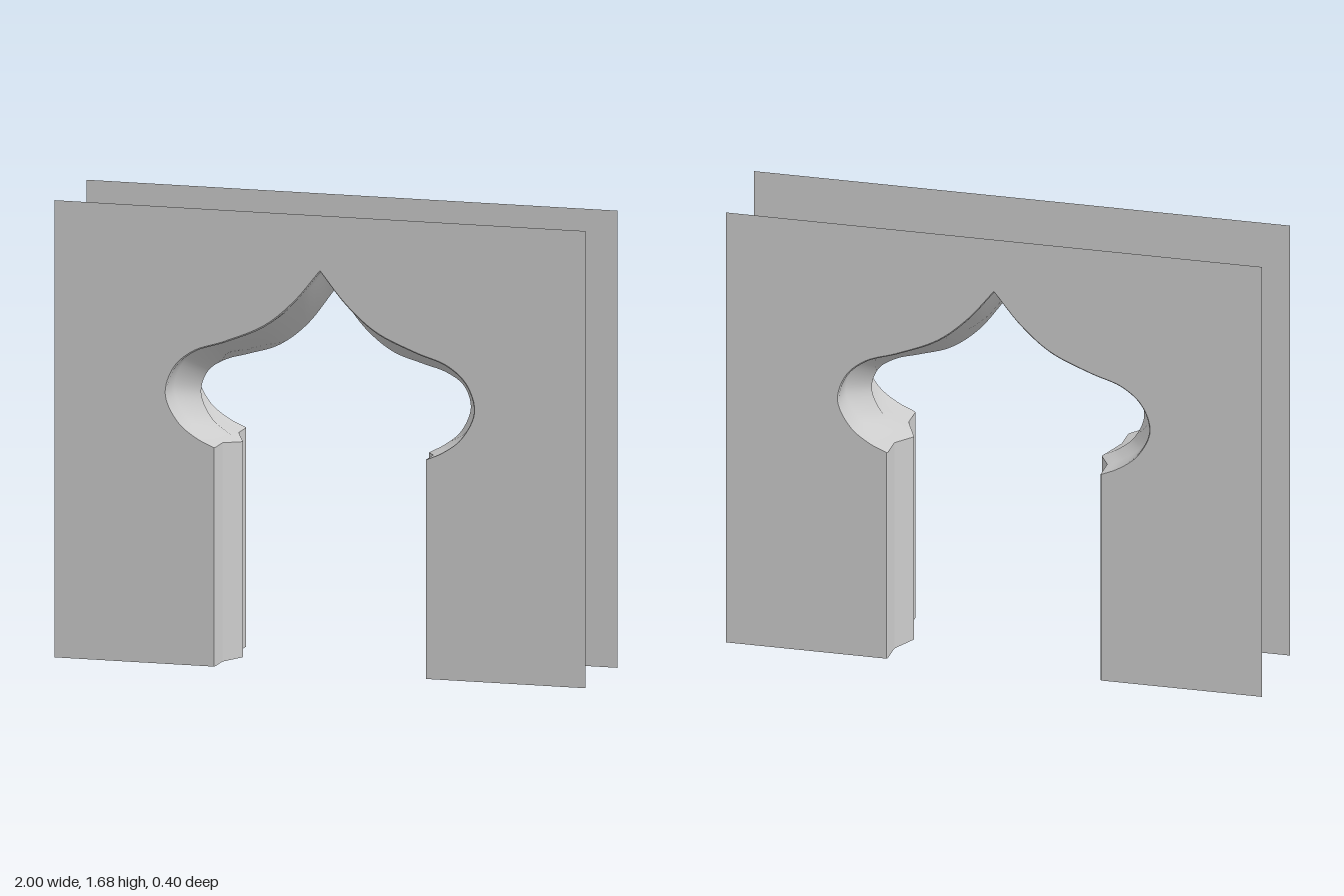
import * as THREE from 'three';

const HALF_DEPTH = 0.2, HEIGHT = 1.68, STEPS = 64;
const material = new THREE.MeshStandardMaterial({ color: 0xcccccc, side: THREE.DoubleSide });

const curve = (pts) =>
  new THREE.CatmullRomCurve3(pts.map(([x, y]) => new THREE.Vector3(x, y, 0)), false, 'centripetal');

// Half of the onion arch, from the spring point to the tip: edge at the panels and ridge at mid depth
const edge = curve([[0.4, 0.805], [0.465, 0.835], [0.535, 0.89], [0.583, 0.99], [0.553, 1.09], [0.48, 1.155],
  [0.36, 1.198], [0.21, 1.265], [0.1, 1.358], [0, 1.478]]);
const ridge = curve([[0.35, 0.792], [0.41, 0.825], [0.47, 0.875], [0.508, 0.965], [0.482, 1.045], [0.417, 1.09],
  [0.325, 1.118], [0.215, 1.155], [0.11, 1.235], [0, 1.377]]);

// Section through the depth: z, and blend from edge (0) to ridge (1)
const section = [[-0.2, 0], [-0.194, 0.06], [-0.1, 0.06], [0, 1], [0.1, 0.06], [0.194, 0.06], [0.2, 0]];

// Surface swept along the opening between an edge line and a ridge line
function reveal(name, side, steps, edgeAt, ridgeAt, faceted) {
  let geo = new THREE.PlaneGeometry(1, 1, steps, section.length - 1);
  const pos = geo.attributes.position;
  for (let row = 0; row < section.length; row++) {
    const [z, blend] = section[row];
    for (let i = 0; i <= steps; i++) {
      const p = edgeAt(i / steps).clone().lerp(ridgeAt(i / steps), blend);
      pos.setXYZ(row * (steps + 1) + i, side * p.x, p.y, side * z);
    }
  }
  if (faceted) geo = geo.toNonIndexed();
  geo.computeVertexNormals();
  const mesh = new THREE.Mesh(geo, material);
  mesh.name = name;
  return mesh;
}

// Flat wall sheet with the arch cut out, open at the foot
function panelGeometry() {
  const half = edge.getPoints(STEPS).map((p) => new THREE.Vector2(p.x, p.y));
  const left = half.slice(0, -1).reverse().map((p) => new THREE.Vector2(-p.x, p.y));
  return new THREE.ShapeGeometry(new THREE.Shape([
    new THREE.Vector2(1, 0), new THREE.Vector2(1, HEIGHT),
    new THREE.Vector2(-1, HEIGHT), new THREE.Vector2(-1, 0),
    new THREE.Vector2(-0.4, 0), ...left.reverse(), ...half.reverse(),
    new THREE.Vector2(0.4, 0),
  ]));
}

export function createModel() {
  const group = new THREE.Group();
  group.name = 'archway';

  // Front and back panels
  for (const side of [1, -1]) {
    const panel = new THREE.Mesh(panelGeometry(), material);
    panel.name = side > 0 ? 'frontPanel' : 'backPanel';
    panel.position.z = side * HALF_DEPTH;
    if (side < 0) panel.rotation.y = Math.PI;
    group.add(panel);
  }

  // Ridged lining: curved arch halves above straight faceted jambs
  const line = (top) => (t) => new THREE.Vector3(top.x, top.y * t, 0);
  for (const side of [1, -1]) {
    const label = side > 0 ? 'left' : 'right';
    group.add(reveal(label + 'ArchLining', side, STEPS, (t) => edge.getPoint(t), (t) => ridge.getPoint(t), false));
    group.add(reveal(label + 'Jamb', side, 1, line(edge.getPoint(0)), line(ridge.getPoint(0)), true));
  }
  return group;
}
